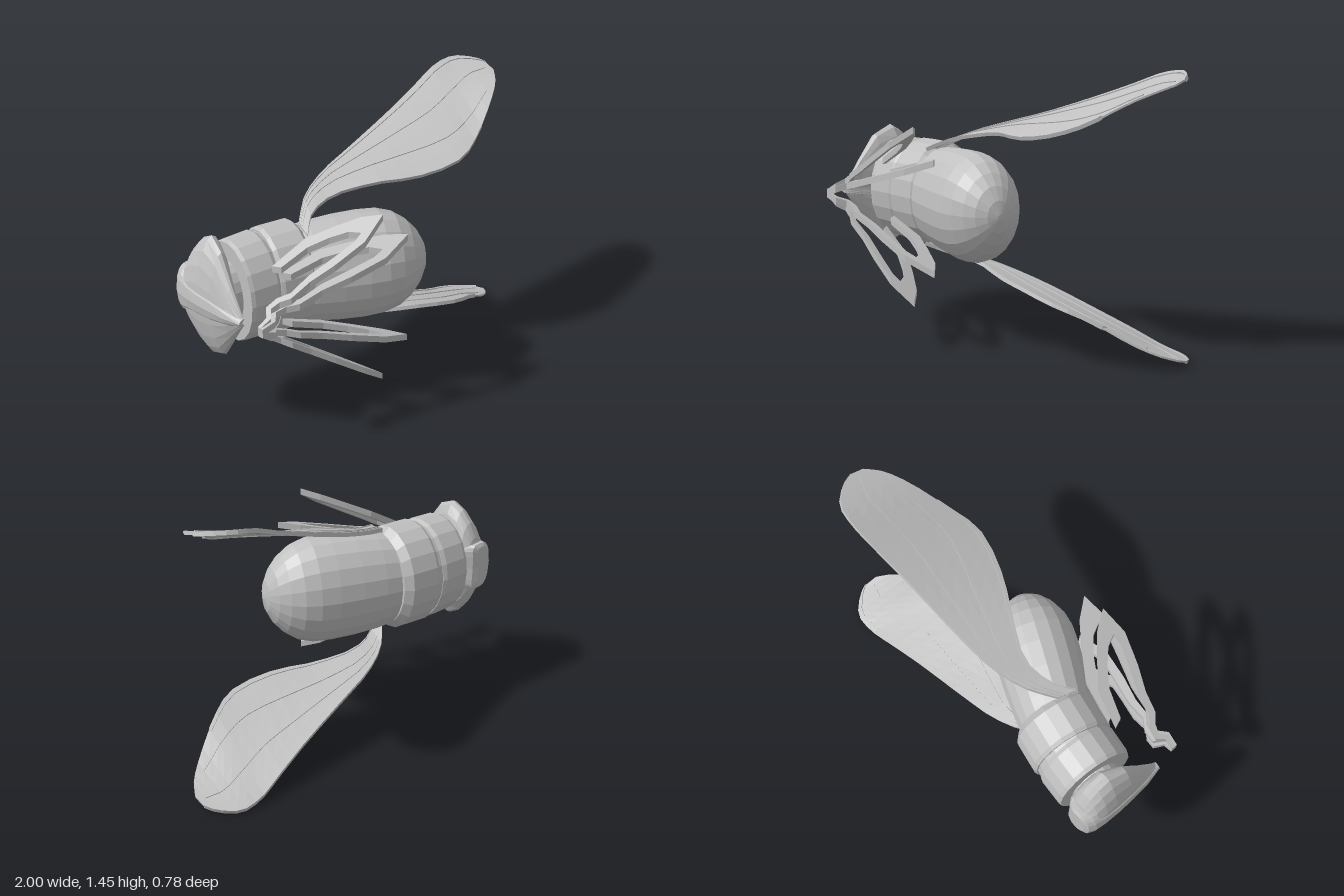
import * as THREE from 'three';

const MID_Y = 0.725; // height of the mirror plane
const V = (x, y, z) => new THREE.Vector3(x, y, z);

// Faceted copy of a geometry
function faceted(geo) {
  const g = geo.index ? geo.toNonIndexed() : geo;
  g.computeVertexNormals();
  return g;
}

// Closed, capped skin through rings of points; faces are turned outward
function loft(rings) {
  const n = rings[0].length, tris = [];
  for (let i = 0; i < rings.length - 1; i++) {
    for (let j = 0; j < n; j++) {
      const k = (j + 1) % n;
      const a = rings[i][j], b = rings[i][k], c = rings[i + 1][k], d = rings[i + 1][j];
      tris.push([a, b, c], [a, c, d]);
    }
  }
  const last = rings[rings.length - 1];
  for (let j = 1; j < n - 1; j++) {
    tris.push([rings[0][0], rings[0][j + 1], rings[0][j]], [last[0], last[j], last[j + 1]]);
  }
  let volume = 0;
  for (const [a, b, c] of tris) volume += a.dot(b.clone().cross(c));
  const pts = tris.flatMap(([a, b, c]) => (volume < 0 ? [a, c, b] : [a, b, c]));
  return faceted(new THREE.BufferGeometry().setFromPoints(pts));
}

// Body segment along a tilted axis; profile rows are [distance, scale]
function segment(cx, cz, tilt, ry, rn, profile, sides = 20) {
  const c = Math.cos(tilt), s = Math.sin(tilt);
  return loft(profile.map(([d, k]) => Array.from({ length: sides }, (_, j) => {
    const a = (j / sides) * Math.PI * 2;
    const n = Math.cos(a) * rn * k;
    return V(cx + d * c - n * s, Math.sin(a) * ry * k, cz + d * s + n * c);
  })));
}

// Head slices stacked along z; rows are [z, centre x, half x, half y]
function headSkin(rows, power, sides = 20) {
  return loft(rows.map(([z, cx, hx, hy]) => Array.from({ length: sides }, (_, j) => {
    const a = (j / sides) * Math.PI * 2, c = Math.cos(a), s = Math.sin(a);
    return V(cx + hx * Math.sign(c) * Math.abs(c) ** power + 0.02 * Math.abs(s),
      hy * Math.sign(s) * Math.abs(s) ** Math.min(power, 1), z);
  })));
}

// Leading and trailing edges of the wing, from root to tip
const edge = (pts) => new THREE.CatmullRomCurve3(pts.map((p) => V(...p)));
const LEAD = edge([[-0.43, 0.26, -0.09], [-0.3, 0.33, -0.19], [-0.13, 0.385, -0.25],
  [0.1, 0.452, -0.275], [0.4, 0.555, -0.295], [0.6, 0.63, -0.315], [0.75, 0.69, -0.328],
  [0.87, 0.712, -0.31], [0.95, 0.705, -0.22], [0.97, 0.695, -0.17]]);
const TRAIL = edge([[-0.46, 0.25, 0.01], [-0.36, 0.3, -0.07], [-0.2, 0.335, -0.095], [0, 0.37, 0],
  [0.2, 0.38, 0.11], [0.43, 0.42, 0.172], [0.6, 0.48, 0.125], [0.79, 0.59, 0.04],
  [0.9, 0.645, -0.03], [0.96, 0.675, -0.1]]);
const WING_STEPS = 20;

// Wing strip around a chord fraction that drifts from f0 (root) to f1 (tip)
function wingStrip(f0, f1, width, thick, end = 1) {
  const d = V(-0.25, 0.9, 0.25).multiplyScalar(thick / 2);
  const cuts = width > 0.5 ? 6 : 1;
  const rings = [];
  for (let i = 0; i <= WING_STEPS * end; i++) {
    const t = i / WING_STEPS, f = f0 + (f1 - f0) * t;
    const a = LEAD.getPoint(t), b = TRAIL.getPoint(t);
    const row = Array.from({ length: cuts + 1 }, (_, j) =>
      a.clone().lerp(b, f + width * (j / cuts - 0.5)));
    rings.push([...row.map((p) => p.clone().add(d)),
      ...row.map((p) => p.clone().sub(d)).reverse()]);
  }
  return loft(rings);
}

// Flat bent leg cut from a plate, then slanted outward from the feet
function legGeometry(scaleX, scaleZ, slope) {
  const outline = [[-0.66, 0.04], [-0.45, 0.085], [-0.32, 0.175], [-0.2, 0.27], [-0.13, 0.365],
    [-0.3, 0.388], [-0.48, 0.34], [-0.62, 0.288], [-0.74, 0.265], [-0.79, 0.225], [-0.84, 0.21],
    [-0.88, 0.25], [-0.95, 0.24], [-0.95, 0.22], [-0.89, 0.225], [-0.85, 0.18], [-0.78, 0.195],
    [-0.72, 0.24], [-0.6, 0.255], [-0.45, 0.303], [-0.33, 0.338], [-0.27, 0.335], [-0.3, 0.27],
    [-0.38, 0.2], [-0.48, 0.135], [-0.64, 0.09]];
  const shape = new THREE.Shape(outline.map(([x, z]) =>
    new THREE.Vector2(-0.95 + (x + 0.95) * scaleX, -z * scaleZ)));
  const g = new THREE.ExtrudeGeometry(shape, { depth: 0.034, bevelEnabled: false });
  g.rotateX(-Math.PI / 2);
  const p = g.attributes.position;
  for (let i = 0; i < p.count; i++) {
    const slant = slope * (p.getX(i) + 0.95) - 0.1 * (p.getZ(i) - 0.3);
    p.setY(i, p.getY(i) - 0.017 + slant);
  }
  return faceted(g);
}

export function createModel() {
  const grey = new THREE.MeshStandardMaterial({ color: 0xc0c0c0 });
  grey.name = 'light grey';
  const model = new THREE.Group();
  model.name = 'insect';
  model.position.y = MID_Y;
  const add = (parent, name, geo) => {
    const m = new THREE.Mesh(geo, grey);
    m.name = name;
    parent.add(m);
    return m;
  };

  // Body
  const abdomen = add(model, 'abdomen', segment(-0.045, 0.1, 0.467, 0.285, 0.218,
    [[-0.48, 0.86], [-0.38, 0.93], [-0.25, 0.98], [-0.12, 1], [-0.02, 0.98], [0.06, 0.89],
      [0.125, 0.73], [0.175, 0.53], [0.21, 0.29], [0.225, 0.05]]));
  abdomen.position.y = -0.006;
  add(model, 'rearThorax', segment(-0.615, -0.15, 0.21, 0.28, 0.222,
    [[-0.01, 0.96], [0.01, 1], [0.165, 1], [0.205, 0.86]]));
  add(model, 'frontThorax', segment(-0.805, -0.178, 0.13, 0.275, 0.215,
    [[0, 0.95], [0.02, 0.98], [0.15, 1], [0.172, 0.96]]));
  add(model, 'waist', segment(-0.66, -0.16, 0.17, 0.26, 0.203, [[0, 1], [0.08, 1]]));
  add(model, 'neck', segment(-0.88, -0.19, 0.1, 0.17, 0.13, [[0, 1], [0.1, 1]]));

  // Head with wide eyes, narrowing to a pointed snout
  add(model, 'head', headSkin([[-0.365, -0.9, 0.06, 0.09], [-0.35, -0.898, 0.08, 0.155],
    [-0.315, -0.895, 0.096, 0.23], [-0.265, -0.896, 0.1, 0.29], [-0.2, -0.9, 0.097, 0.325],
    [-0.1, -0.925, 0.07, 0.28], [0, -0.95, 0.038, 0.15], [0.095, -0.965, 0.008, 0.02]], 1.1));
  add(model, 'faceBand', headSkin([[-0.388, -0.91, 0.04, 0.11], [-0.376, -0.905, 0.07, 0.127],
    [-0.34, -0.9, 0.093, 0.125], [-0.28, -0.9, 0.102, 0.105], [-0.2, -0.905, 0.1, 0.09],
    [-0.1, -0.93, 0.073, 0.08], [0, -0.955, 0.042, 0.05], [0.1, -0.967, 0.01, 0.02]], 0.55));

  // Wings and legs on both sides
  for (const side of [1, -1]) {
    const half = new THREE.Group();
    half.name = side > 0 ? 'upperSide' : 'lowerSide';
    half.scale.y = side;
    model.add(half);

    const wing = new THREE.Group();
    wing.name = 'wing';
    half.add(wing);
    add(wing, 'wingMembrane', wingStrip(0.5, 0.5, 1, 0.01));
    add(wing, 'leadingRim', wingStrip(0.03, 0.03, 0.07, 0.022));
    add(wing, 'frontVein', wingStrip(0.2, 0.45, 0.03, 0.02, 0.9));
    add(wing, 'middleVein', wingStrip(0.4, 0.95, 0.03, 0.02, 0.8));
    add(wing, 'trailingRim', wingStrip(0.98, 0.98, 0.05, 0.02, 0.7));
    if (side < 0) {
      // The lower wing is slightly longer and swept further back
      wing.rotation.y = 0.025;
      wing.scale.x = 1.025;
      wing.position.z = -0.01;
    }

    // The lower legs spread slightly wider
    add(half, 'innerLeg', legGeometry(1, 1, side > 0 ? 0.32 : 0.38));
    add(half, 'outerLeg', legGeometry(0.82, 0.94, side > 0 ? 0.61 : 0.72));
  }
  return model;
}
